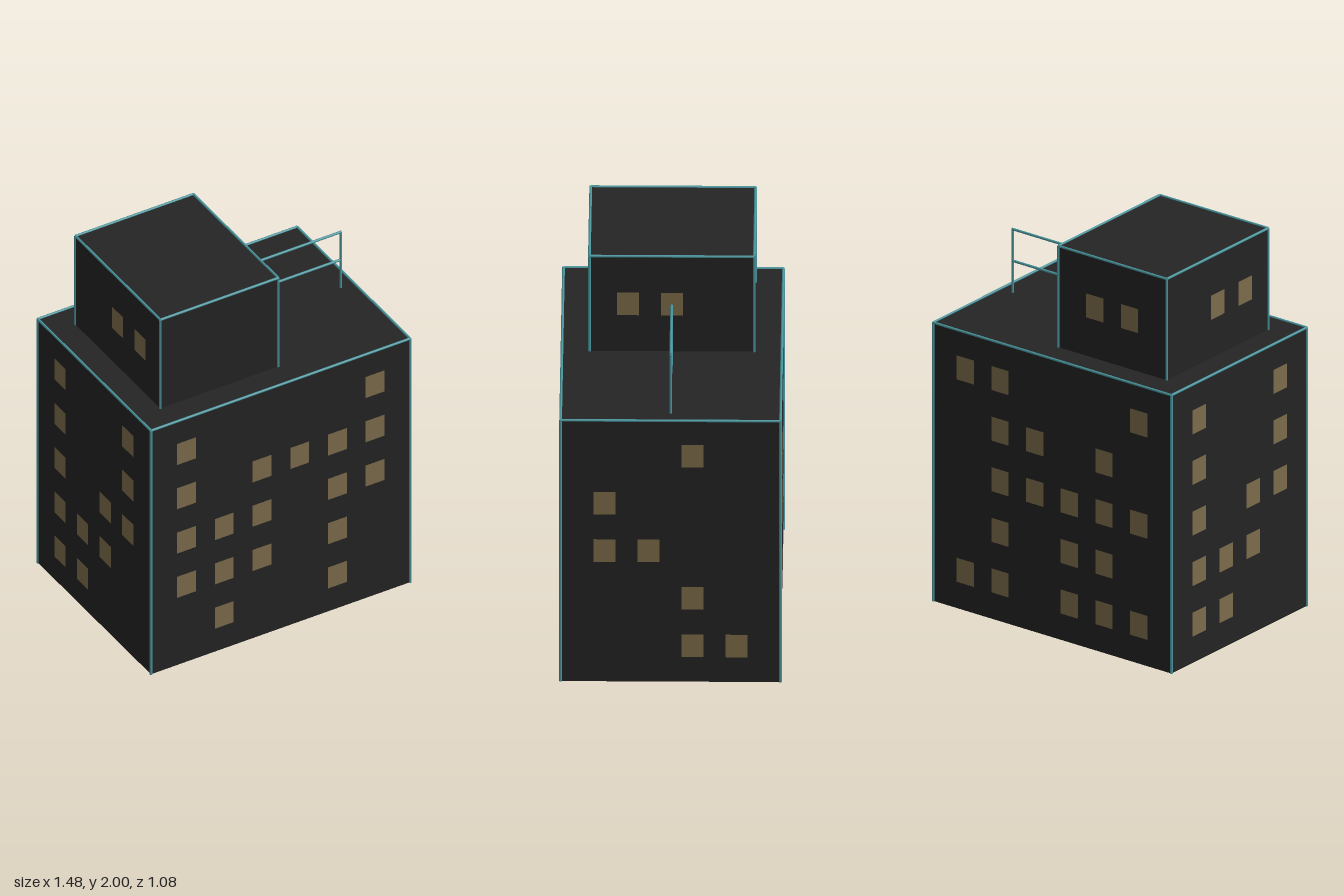
import * as THREE from 'three';

const U = 0.06645; // building module
const R = 0.1 * U; // trim radius

const wallMat = new THREE.MeshStandardMaterial({ color: 0x242424, side: THREE.DoubleSide });
wallMat.name = 'charcoal wall';
const windowMat = new THREE.MeshStandardMaterial({ color: 0x7d6c4b });
windowMat.name = 'warm window';
const trimMat = new THREE.MeshStandardMaterial({ color: 0x4a98a0 });
trimMat.name = 'teal trim';

// Thin rod between two points given in modules
function rod(name, a, b) {
  const p = new THREE.Vector3(...a).multiplyScalar(U);
  const q = new THREE.Vector3(...b).multiplyScalar(U);
  const dir = q.clone().sub(p);
  const mesh = new THREE.Mesh(new THREE.CylinderGeometry(R, R, dir.length(), 8), trimMat);
  mesh.name = name;
  mesh.position.copy(p).add(q).multiplyScalar(0.5);
  mesh.quaternion.setFromUnitVectors(new THREE.Vector3(0, 1, 0), dir.normalize());
  return mesh;
}

// Block without a floor, trimmed along its upright and top edges
function block(name, w, h, d) {
  const group = new THREE.Group();
  group.name = name;
  const geo = new THREE.BoxGeometry(w * U, h * U, d * U);
  const index = Array.from(geo.index.array);
  index.splice(18, 6); // drop the bottom face
  geo.setIndex(index);
  geo.clearGroups();
  const shell = new THREE.Mesh(geo, wallMat);
  shell.name = name + 'Walls';
  shell.position.y = h * U / 2;
  group.add(shell);

  const x = w / 2, z = d / 2;
  const corners = [[x, z], [x, -z], [-x, -z], [-x, z]];
  corners.forEach(([cx, cz], i) => {
    const [nx, nz] = corners[(i + 1) % 4];
    group.add(rod('cornerTrim', [cx, 0, cz], [cx, h, cz]));
    group.add(rod('roofTrim', [cx, h, cz], [nx, h, nz]));
  });
  return group;
}

// Windows on one wall; rows run from the top down, '#' marks a lit window,
// columns run left to right as seen facing that wall
function windows(name, rows, topRow, distance, turn) {
  const group = new THREE.Group();
  group.name = name;
  group.rotation.y = turn;
  rows.forEach((row, r) => {
    [...row].forEach((cell, c) => {
      if (cell !== '#') return;
      const pane = new THREE.Mesh(new THREE.PlaneGeometry(1.6 * U, 1.9 * U), windowMat);
      pane.name = 'window';
      pane.position.set(
        (c - (row.length - 1) / 2) * 3.2 * U,
        (topRow - r * 4) * U,
        distance * U + 0.003
      );
      group.add(pane);
    });
  });
  return group;
}

export function createModel() {
  const model = new THREE.Group();
  model.name = 'building';
  const Q = Math.PI / 2;

  // Main tower
  const tower = block('tower', 22, 22, 16);
  tower.add(
    windows('frontWindows', ['#....#', '#.####', '###.##', '###.#.', '.#..#.'], 19.05, 8, 0),
    windows('leftWindows', ['..#.', '#...', '##..', '..#.', '..##'], 19.05, 11, Q),
    windows('backWindows', ['##...#', '.##.#.', '.#####', '.#.##.', '##.###'], 19.05, 8, 2 * Q),
    windows('rightWindows', ['#..#', '#..#', '#.##', '###.', '##..'], 19.05, 11, -Q)
  );
  model.add(tower);

  // Rooftop house
  const house = block('roofHouse', 10, 8, 12);
  house.position.set(-4 * U, 22 * U, 0);
  house.add(
    windows('houseLeftWindows', ['##.'], 4, 5, Q),
    windows('houseBackWindows', ['##'], 4, 6, 2 * Q),
    windows('houseRightWindows', ['.##'], 4, 5, -Q)
  );
  model.add(house);

  // Rooftop rail frame
  const rail = new THREE.Group();
  rail.name = 'roofRail';
  for (const x of [3, 9.9]) rail.add(rod('railPost', [x, 22, 0], [x, 27, 0]));
  for (const y of [24.5, 27]) rail.add(rod('railBar', [2.95, y, 0], [9.95, y, 0]));
  model.add(rail);

  return model;
}
